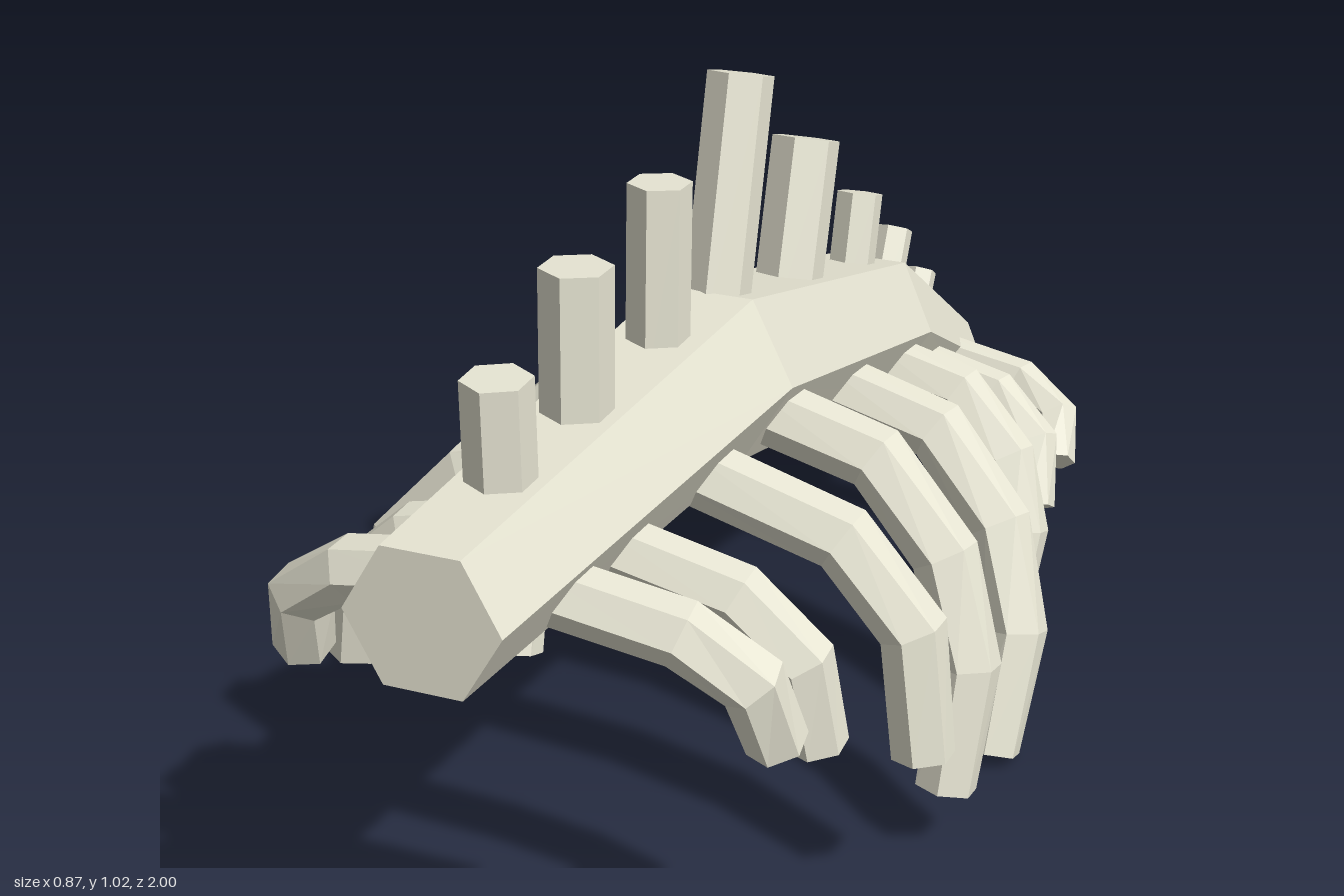
import * as THREE from 'three';

const X = new THREE.Vector3(1, 0, 0);
const Z = new THREE.Vector3(0, 0, 1);
const bone = new THREE.MeshStandardMaterial({ color: 0xe8e6d4, flatShading: true });

// Sweeps a hexagon along points; one corner of each ring points towards ref.
function hexSweep(name, points, radii, ref) {
  const pts = points.map((p) => new THREE.Vector3(...p));
  const pos = [];
  const rings = pts.map((p, i) => {
    const into = p.clone().sub(pts[Math.max(i - 1, 0)]).normalize();
    const out = pts[Math.min(i + 1, pts.length - 1)].clone().sub(p).normalize();
    const t = into.add(out).normalize();
    const a = ref.clone().addScaledVector(t, -ref.dot(t)).normalize();
    const b = t.clone().cross(a);
    return Array.from({ length: 6 }, (_, k) => {
      const angle = (k * Math.PI) / 3;
      return p.clone()
        .addScaledVector(a, radii[i] * Math.cos(angle))
        .addScaledVector(b, radii[i] * Math.sin(angle));
    });
  });
  const tri = (...corners) => corners.forEach((c) => pos.push(c.x, c.y, c.z));
  const last = rings.length - 1;
  for (let k = 0; k < 6; k++) {
    const n = (k + 1) % 6;
    for (let i = 0; i < last; i++) {
      tri(rings[i][k], rings[i][n], rings[i + 1][n]);
      tri(rings[i][k], rings[i + 1][n], rings[i + 1][k]);
    }
    tri(pts[0], rings[0][n], rings[0][k]);
    tri(pts[last], rings[last][k], rings[last][n]);
  }
  const geo = new THREE.BufferGeometry();
  geo.setAttribute('position', new THREE.Float32BufferAttribute(pos, 3));
  geo.computeVertexNormals();
  const mesh = new THREE.Mesh(geo, bone);
  mesh.name = name;
  return mesh;
}

// Rib outlines as [share of width, share of drop]
const LONG = [[0.1, 0], [0.6, 0.1], [0.88, 0.34], [1, 0.64], [0.97, 1]];
const SHORT = [[0.1, 0], [0.68, 0.18], [0.94, 0.5], [1, 1]];

// Root and tip of each rib, front to back
const RIBS = [
  { z: [0.785, 0.73], y: [0.63, 0.445], w: 0.315, r: 0.042, path: SHORT },
  { z: [0.61, 0.60], y: [0.6, 0.365], w: 0.32, r: 0.042, path: SHORT },
  { z: [0.35, 0.385], y: [0.58, 0.235], w: 0.39, r: 0.046, path: SHORT },
  { z: [0.13, 0.25], y: [0.575, 0.1], w: 0.395, r: 0.047, path: LONG },
  { z: [-0.16, 0.02], y: [0.485, 0.02], w: 0.395, r: 0.047, path: LONG },
  { z: [-0.42, -0.29], y: [0.41, 0.065], w: 0.32, r: 0.043, path: LONG },
  { z: [-0.6, -0.485], y: [0.33, 0.155], w: 0.3, r: 0.037, path: SHORT },
  { z: [-0.79, -0.67], y: [0.255, 0.145], w: 0.285, r: 0.037, path: SHORT },
];

// Upright bones: base [y, z], tip [y, z], radius
const PROCESSES = [
  [[0.7, 0.79], [0.89, 0.79], 0.043],
  [[0.68, 0.585], [0.94, 0.572], 0.046],
  [[0.68, 0.335], [0.955, 0.317], 0.042],
  [[0.67, 0.14], [1.01, 0.035], 0.046],
  [[0.57, -0.135], [0.83, -0.225], 0.05],
  [[0.48, -0.42], [0.655, -0.475], 0.036],
  [[0.4, -0.575], [0.53, -0.65], 0.032],
  [[0.29, -0.735], [0.395, -0.805], 0.028],
];

export function createModel() {
  const model = new THREE.Group();
  model.name = 'ribcage';

  // Arched backbone, running front to back
  model.add(hexSweep('backbone',
    [[0, 0.685, 0.995], [0, 0.63, 0.18], [0, 0.43, -0.49], [0, 0.172, -0.972]],
    [0.098, 0.13, 0.118, 0.065], X));

  // Mirrored pairs of ribs
  RIBS.forEach(({ z, y, w, r, path }, i) => {
    for (const side of [1, -1]) {
      const points = path.map(([u, v]) => [
        side * w * u,
        THREE.MathUtils.lerp(y[0], y[1], v),
        THREE.MathUtils.lerp(z[0], z[1], v),
      ]);
      const radii = path.map((_, k) => (k === path.length - 1 ? r * 0.93 : r));
      model.add(hexSweep(`${side > 0 ? 'left' : 'right'}Rib${i + 1}`, points, radii, Z));
    }
  });

  // Upright bones along the top of the backbone
  PROCESSES.forEach(([base, tip, r], i) => {
    model.add(hexSweep(`uprightBone${i + 1}`, [[0, ...base], [0, ...tip]], [r, r], Z));
  });

  return model;
}
